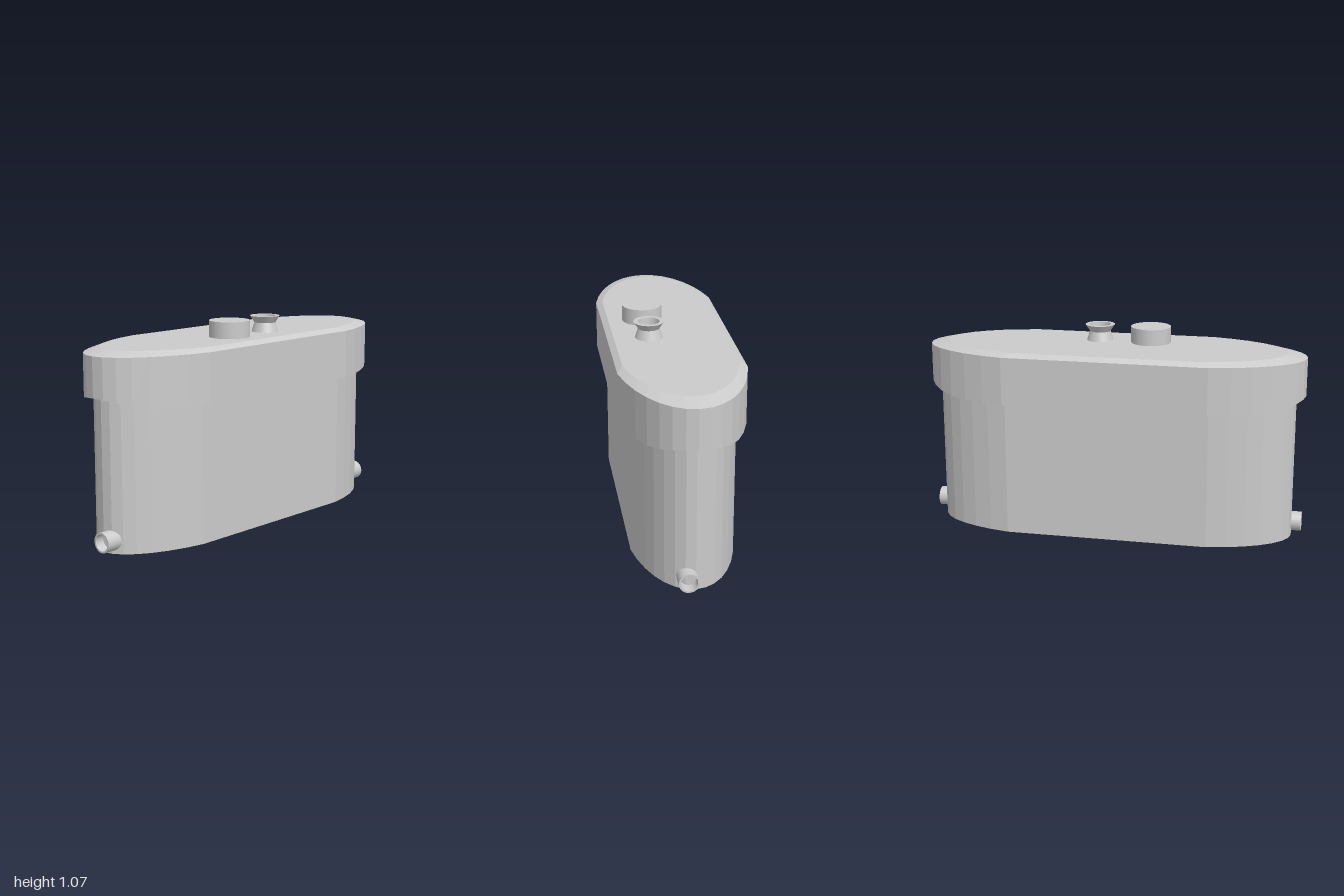
import * as THREE from 'three';

const flat = new THREE.MeshStandardMaterial({ color: 0xcccccc, flatShading: true });
const smooth = new THREE.MeshStandardMaterial({ color: 0xcccccc, side: THREE.DoubleSide });

// Long rounded outline: straight flanks joined by partial elliptical ends.
// Points run from +z tip round through +x, -z, -x.
function outline(halfWidth, halfLength, straight) {
  const end = THREE.MathUtils.degToRad(70), n = 7, quarter = [];
  for (let i = 0; i <= n; i++) {
    const t = (end * i) / n;
    const drop = ((halfLength - straight) * (1 - Math.cos(t))) / (1 - Math.cos(end));
    quarter.push([(halfWidth * Math.sin(t)) / Math.sin(end), halfLength - drop]);
  }
  quarter.push([halfWidth, straight / 2]);
  const side = [...quarter, [halfWidth, 0], ...quarter.slice().reverse().map(([x, z]) => [x, -z])];
  return [...side, ...side.slice(1, -1).reverse().map(([x, z]) => [-x, z])];
}

// Skin stacked loops of [x, y, z] from bottom to top and close both ends.
function loft(loops) {
  const n = loops[0].length, pos = loops.flat(2), index = [];
  for (let r = 0; r < loops.length - 1; r++) {
    for (let i = 0; i < n; i++) {
      const a = r * n + i, b = r * n + ((i + 1) % n);
      index.push(a, b, b + n, a, b + n, a + n);
    }
  }
  const last = (loops.length - 1) * n;
  const capEnd = (loop, start, up) => {
    const y = loop.reduce((s, p) => s + p[1], 0) / n;
    const c = pos.length / 3;
    pos.push(0, y, 0);
    for (let i = 0; i < n; i++) {
      const a = start + i, b = start + ((i + 1) % n);
      index.push(c, up ? a : b, up ? b : a);
    }
  };
  capEnd(loops[0], 0, false);
  capEnd(loops[loops.length - 1], last, true);
  const g = new THREE.BufferGeometry();
  g.setAttribute('position', new THREE.Float32BufferAttribute(pos, 3));
  g.setIndex(index);
  const out = g.toNonIndexed();
  out.computeVertexNormals();
  return out;
}

// Height of the lid's lower rim, which lifts towards both ends.
function rimHeight(z) {
  const pts = [[0, 0.703], [0.5, 0.71], [0.82, 0.72], [0.92, 0.737], [1, 0.765]];
  const d = Math.min(Math.abs(z), 1);
  const i = Math.max(1, pts.findIndex((p) => d <= p[0]));
  const [a, b] = [pts[i - 1], pts[i]];
  return THREE.MathUtils.mapLinear(d, a[0], b[0], a[1], b[1]);
}

// Sharp-edged surface of revolution: every profile segment is its own band.
function turned(name, profile, segments) {
  const group = new THREE.Group();
  group.name = name;
  for (let i = 0; i < profile.length - 1; i++) {
    const pts = [profile[i], profile[i + 1]].map(([r, y]) => new THREE.Vector2(r, y));
    const mesh = new THREE.Mesh(new THREE.LatheGeometry(pts, segments), smooth);
    mesh.name = name + 'Band';
    group.add(mesh);
  }
  return group;
}

export function createModel() {
  const model = new THREE.Group();
  model.name = 'ovalTank';
  const add = (name, geometry, material) => {
    const mesh = new THREE.Mesh(geometry, material);
    mesh.name = name;
    model.add(mesh);
    return mesh;
  };

  // Tank body
  const wall = outline(0.265, 0.95, 0.53);
  const level = (loop, y) => loop.map(([x, z]) => [x, y, z]);
  add('tankBody', loft([level(wall, 0), level(wall, 0.8)]), flat);

  // Overhanging lid with a curved lower rim and bevelled top
  const rim = outline(0.317, 0.998, 0.53);
  const inner = outline(0.25, 0.93, 0.53);
  const top = outline(0.287, 0.9, 0.48);
  add('lid', loft([
    inner.map(([x, z], i) => [x, rimHeight(rim[i][1]), z]),
    rim.map(([x, z]) => [x, rimHeight(z), z]),
    level(rim, 0.965),
    level(top, 0.986),
  ]), flat);

  // Filler cap
  const cap = add('fillerCap', new THREE.CylinderGeometry(0.105, 0.105, 0.09, 32), smooth);
  cap.position.set(0.108, 1.025, 0.17);

  // Waisted vent with an open mouth
  const vent = turned('vent', [
    [0.072, 0.98], [0.055, 1.035], [0.078, 1.07], [0.055, 1.07], [0.05, 1.0], [0, 1.0],
  ], 32);
  vent.position.set(0.108, 0, -0.103);
  model.add(vent);

  // Hollow drain pipe at each end
  for (const s of [1, -1]) {
    const pipe = turned(s > 0 ? 'frontPipe' : 'backPipe', [
      [0.051, 0.88], [0.051, 1], [0.042, 1], [0.042, 0.9], [0, 0.9],
    ], 24);
    pipe.rotation.x = (s * Math.PI) / 2;
    pipe.position.set(0.04, 0.065, 0);
    model.add(pipe);
  }
  return model;
}
